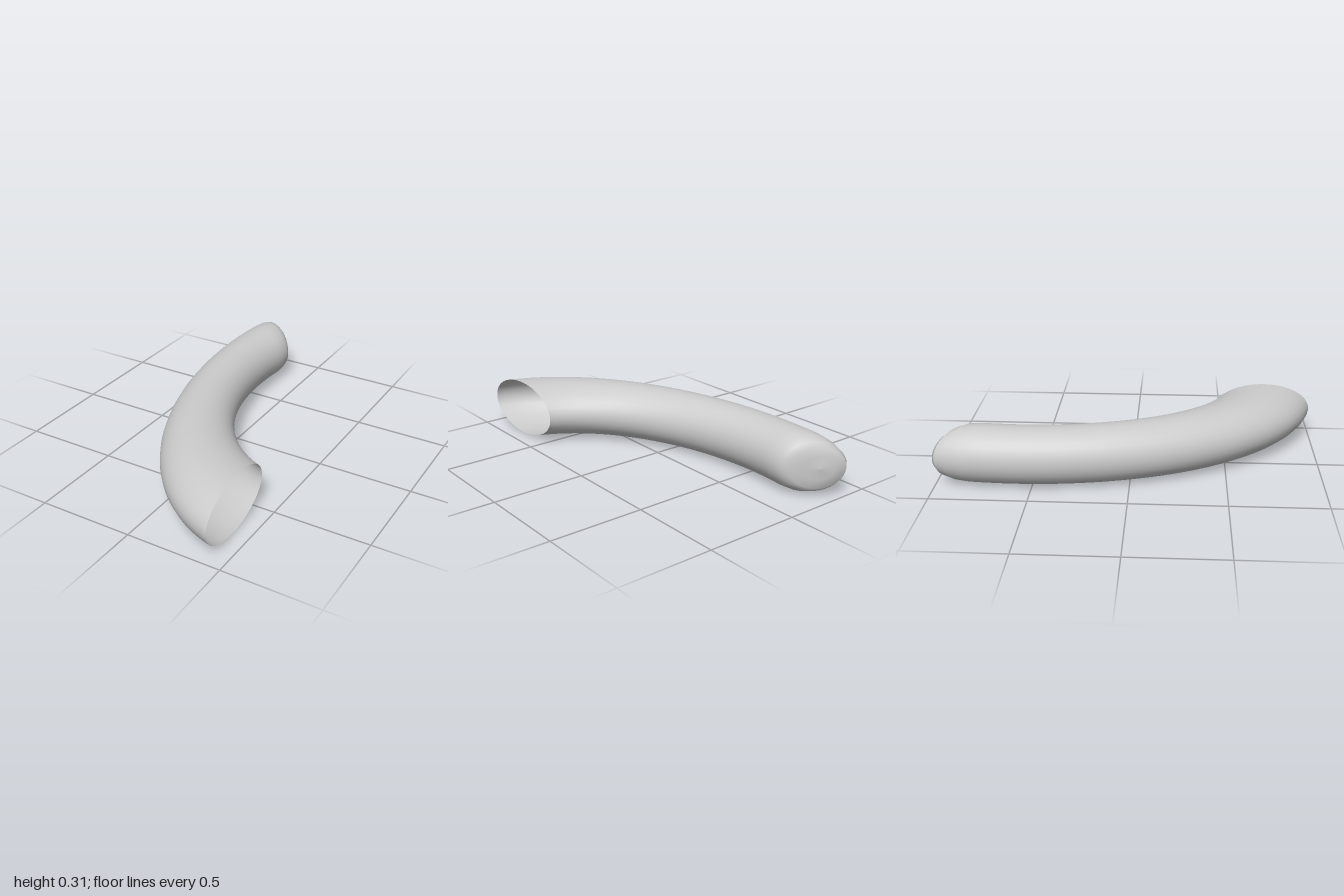
import * as THREE from 'three';

const SIDES = 32, STEPS = 40, RADIUS = 0.1525;

// Point on an elliptical arc in the ground plane
const arc = (cx, cz, a, b, t) => [cx - a * Math.cos(t), cz + b * Math.sin(t)];

// Cross-sections: outer edge, inner edge [x, z] and half height
function sections() {
  // Closed, softly rounded back end, from its centre out to the rim
  const list = [
    { outer: [-0.25, -0.935], inner: [-0.25, -0.935], h: 0 },
    { outer: [-0.315, -0.975], inner: [-0.19, -0.88], h: 0.06 },
    { outer: [-0.365, -1.0], inner: [-0.135, -0.84], h: 0.108 },
    { outer: [-0.385, -0.985], inner: [-0.115, -0.805], h: 0.13 },
    { outer: [-0.403, -0.93], inner: [-0.11, -0.77], h: 0.147 },
  ];
  // Curved tube between the outer and inner arcs
  for (let i = 0; i <= STEPS; i++) {
    const k = i / STEPS;
    list.push({
      outer: arc(0.6, -0.6, 1.03, 1.617, THREE.MathUtils.lerp(-0.155, 1.4, k)),
      inner: arc(0.6, -0.55, 0.72, 1.036, THREE.MathUtils.lerp(-0.165, 1.289, k)),
      h: RADIUS,
    });
  }
  return list;
}

// Skin elliptical rings into one smooth surface, left open at the front
function loft(rings) {
  const positions = [], indices = [];
  rings.forEach(({ outer, inner, h }, i) => {
    for (let j = 0; j < SIDES; j++) {
      const a = (j / SIDES) * Math.PI * 2;
      const k = (1 - Math.cos(a)) / 2;
      positions.push(
        THREE.MathUtils.lerp(outer[0], inner[0], k),
        RADIUS + h * Math.sin(a),
        THREE.MathUtils.lerp(outer[1], inner[1], k)
      );
      if (i === rings.length - 1) continue;
      const n = (j + 1) % SIDES, r = i * SIDES, s = r + SIDES;
      if (i > 0) indices.push(r + j, s + j, r + n);
      indices.push(s + j, s + n, r + n);
    }
  });
  const geometry = new THREE.BufferGeometry();
  geometry.setAttribute('position', new THREE.Float32BufferAttribute(positions, 3));
  geometry.setIndex(indices);
  geometry.computeVertexNormals();
  return geometry;
}

export function createModel() {
  const group = new THREE.Group();
  group.name = 'curvedTube';
  const material = new THREE.MeshStandardMaterial({ color: 0xcccccc, side: THREE.DoubleSide });
  const tube = new THREE.Mesh(loft(sections()), material);
  tube.name = 'tubeShell';
  group.add(tube);
  return group;
}
